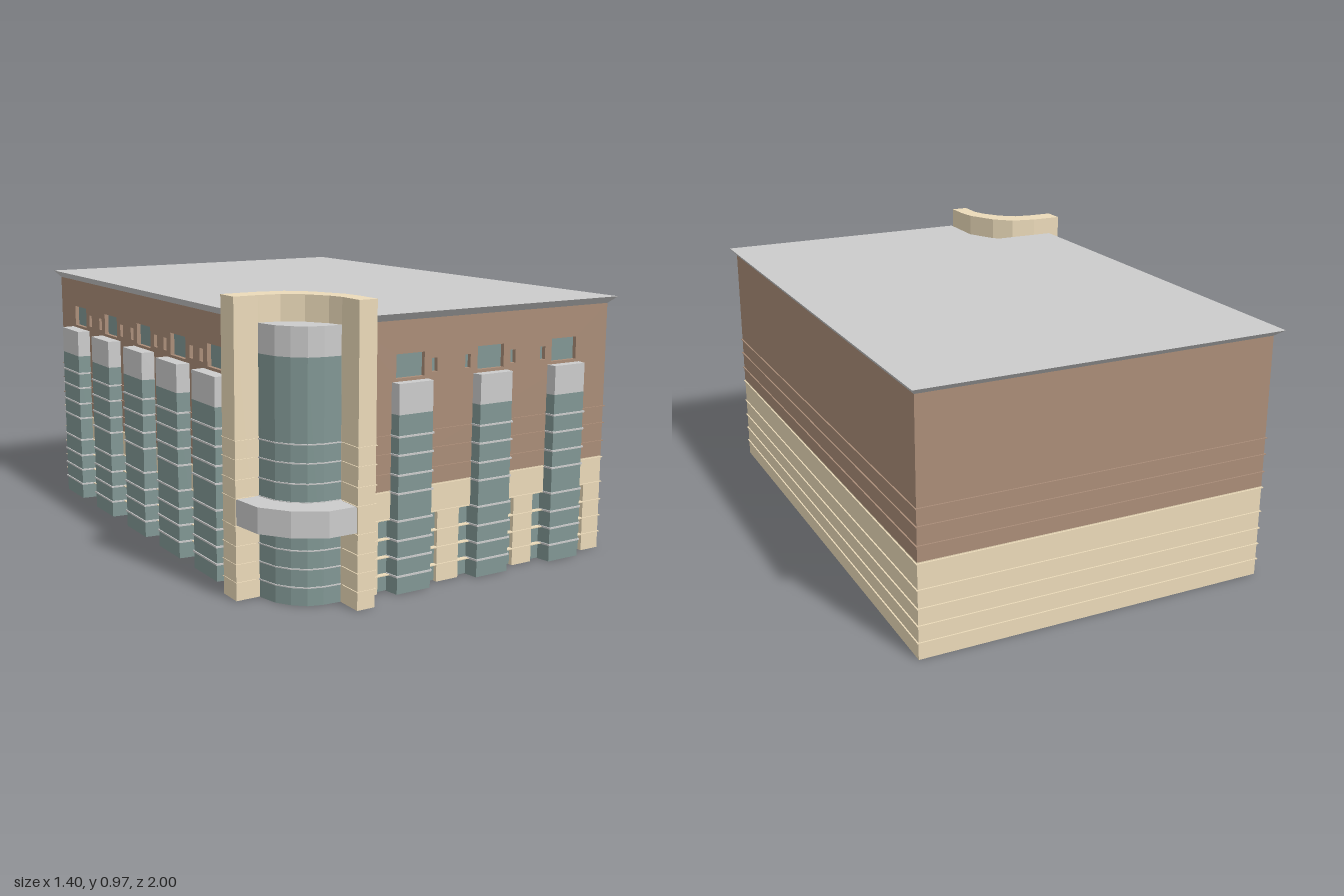
import * as THREE from 'three';

const mat = (color) => new THREE.MeshStandardMaterial({ color, flatShading: true });
const GREY = mat(0xcccccc), BEIGE = mat(0xebdab9), BROWN = mat(0xaa8d78), GLASS = mat(0x819794);
const RIB_HEIGHTS = [0.06, 0.12, 0.18, 0.245, 0.335, 0.395, 0.46, 0.52];
const BAND = 0.34, TOP = 0.885, RECESS = 0.02;

function add(parent, name, geometry, material) {
  const mesh = new THREE.Mesh(geometry, material);
  mesh.name = name;
  parent.add(mesh);
  return mesh;
}

// Vertical prism from a floor plan given as [x, z] corners
function plan(points, y0, y1) {
  const shape = new THREE.Shape(points.map(([x, z]) => new THREE.Vector2(x, -z)));
  const g = new THREE.ExtrudeGeometry(shape, { depth: y1 - y0, bevelEnabled: false });
  return g.rotateX(-Math.PI / 2).translate(0, y0, 0);
}

function box(x0, x1, y0, y1, z0, z1) {
  return new THREE.BoxGeometry(x1 - x0, y1 - y0, z1 - z0)
    .translate((x0 + x1) / 2, (y0 + y1) / 2, (z0 + z1) / 2);
}

// Facade in local space: u runs along x, outside is +z, outer face at z = 0
function facade({ name, u0, u1, bays, half, flank, depth, bigHalf, smallOffset, smallHalf, extra = [] }) {
  const group = new THREE.Group();
  group.name = name;
  const extrude = { depth: RECESS, bevelEnabled: false };

  // Lower wall with tall openings that reach the ground
  const openings = [...extra, ...bays.map((c) => [c - flank, c + flank])].sort((a, b) => a[0] - b[0]);
  const lower = new THREE.Shape();
  lower.moveTo(u0, 0);
  for (const [a, b] of openings) {
    lower.lineTo(a, 0);
    lower.lineTo(a, 0.238);
    lower.lineTo(a + 0.007, 0.245);
    lower.lineTo(b - 0.007, 0.245);
    lower.lineTo(b, 0.238);
    lower.lineTo(b, 0);
  }
  lower.lineTo(u1, 0);
  lower.lineTo(u1, BAND);
  lower.lineTo(u0, BAND);
  add(group, 'lowerWall', new THREE.ExtrudeGeometry(lower, extrude).translate(0, 0, -RECESS), BEIGE);

  // Upper wall with a wide window over each bay and narrow ones between bays
  const upper = new THREE.Shape();
  upper.moveTo(u0, BAND);
  upper.lineTo(u1, BAND);
  upper.lineTo(u1, TOP);
  upper.lineTo(u0, TOP);
  const hole = (c, h, y0, y1) => upper.holes.push(new THREE.Path([
    new THREE.Vector2(c - h, y0), new THREE.Vector2(c - h, y1),
    new THREE.Vector2(c + h, y1), new THREE.Vector2(c + h, y0)]));
  bays.forEach((c, i) => {
    hole(c, bigHalf, 0.7, 0.778);
    if (i > 0) hole(c - smallOffset, smallHalf, 0.71, 0.755);
    if (i < bays.length - 1) hole(c + smallOffset, smallHalf, 0.71, 0.755);
  });
  add(group, 'upperWall', new THREE.ExtrudeGeometry(upper, extrude).translate(0, 0, -RECESS), BROWN);

  // Glass behind the openings
  add(group, 'windowGlass', box(u0 + 0.01, u1 - 0.01, 0.002, 0.8, -RECESS - 0.005, -RECESS + 0.005), GLASS);

  // Projecting glazed bays with grey caps and floor ribs
  for (const c of bays) {
    const bay = new THREE.Group();
    bay.name = 'bay';
    const outline = (e) => [[c - half - 0.008 - e, -0.018], [c - half - e, depth + e],
      [c + half + e, depth + e], [c + half + 0.008 + e, -0.018]];
    add(bay, 'bayGlass', plan(outline(0), 0, 0.59), GLASS);
    add(bay, 'bayCap', plan(outline(0), 0.59, 0.69), GREY);
    for (const y of RIB_HEIGHTS) add(bay, 'bayRib', plan(outline(0.004), y - 0.003, y + 0.003), GREY);
    group.add(bay);
  }
  return group;
}

function cornerTower() {
  const tower = new THREE.Group();
  tower.name = 'cornerTower';
  const back = [[-0.7, 0.64], [-0.58, 0.64], [-0.485, 0.66], [-0.42, 0.72], [-0.365, 0.83], [-0.355, 0.9], [-0.355, 0.995]];
  const inner = [[-0.42, 0.995], [-0.42, 0.9], [-0.435, 0.85], [-0.48, 0.78], [-0.54, 0.735], [-0.615, 0.725], [-0.7, 0.725]];
  add(tower, 'curvedWall', plan([...back, ...inner], 0, 0.97), BEIGE);

  // Convex glazed column standing inside the curved wall
  const column = (e) => [[-0.45, 0.7], [-0.615 - e, 0.7], [-0.615 - e, 0.735], [-0.6 - e, 0.8], [-0.57 - e, 0.845 + e],
    [-0.53, 0.88 + e], [-0.48, 0.895 + e], [-0.4, 0.9 + e], [-0.4, 0.8]];
  add(tower, 'columnGlass', plan(column(0), 0, 0.79), GLASS);
  add(tower, 'columnCap', plan(column(0), 0.79, TOP), GREY);
  for (const y of RIB_HEIGHTS) {
    add(tower, 'columnRib', plan(column(0.003), y - 0.002, y + 0.002), GREY);
    add(tower, 'wallEndRib', box(-0.424, -0.351, y - 0.0015, y + 0.0015, 0.91, 0.998), BEIGE);
    add(tower, 'wallEndRib', box(-0.702, -0.63, y - 0.0015, y + 0.0015, 0.636, 0.729), BEIGE);
  }

  // Entrance canopy
  add(tower, 'canopy', plan([[-0.5, 0.72], [-0.698, 0.722], [-0.685, 0.84], [-0.62, 0.93], [-0.52, 0.99],
    [-0.41, 0.99], [-0.41, 0.85]], 0.25, BAND - 0.005), GREY);
  return tower;
}

export function createModel() {
  const model = new THREE.Group();
  model.name = 'building';

  // Solid body, hollowed at the corner for the tower
  const corner = [[-0.39, 0.885], [-0.395, 0.83], [-0.445, 0.75], [-0.51, 0.695], [-0.6, 0.68]];
  const body = [[-0.6, -0.965], [0.675, -0.965], [0.675, 0.885], ...corner];
  add(model, 'lowerBody', plan(body, 0, BAND), BEIGE);
  add(model, 'upperBody', plan(body, BAND, TOP), BROWN);
  add(model, 'cornerRoof', plan([[-0.615, 0.6], [-0.31, 0.6], [-0.31, 0.9], [-0.38, 0.9], ...corner.slice(1, 4), [-0.615, 0.68]],
    TOP - 0.01, TOP + 0.002), GREY);

  // Thin ribs around the walls
  const ring = [[-0.625, -0.97], [0.68, -0.97], [0.68, 0.91], [-0.39, 0.91], [-0.39, 0.8], [-0.5, 0.68], [-0.625, 0.68]];
  for (const y of RIB_HEIGHTS) {
    add(model, 'wallRib', plan(ring, y - 0.0015, y + 0.0015), y < BAND ? BEIGE : BROWN);
  }

  // Roof slab, flared outwards from the wall line
  const roof = plan([[-0.64, -1], [0.695, -1], [0.695, 0.935], [-0.32, 0.935], [-0.32, 0.64], [-0.35, 0.61], [-0.64, 0.61]], TOP, 0.91);
  const p = roof.attributes.position;
  for (let i = 0; i < p.count; i++) {
    if (p.getY(i) > TOP + 0.01) continue;
    p.setX(i, THREE.MathUtils.clamp(p.getX(i), -0.62, 0.675));
    p.setZ(i, THREE.MathUtils.clamp(p.getZ(i), -0.965, 0.905));
  }
  roof.computeVertexNormals();
  add(model, 'roof', roof, GREY);

  // Front and side facades
  const front = facade({
    name: 'frontFacade', u0: -0.39, u1: 0.675, bays: [-0.165, 0.16, 0.48], half: 0.066, flank: 0.118,
    depth: 0.035, bigHalf: 0.055, smallOffset: 0.095, smallHalf: 0.011, extra: [[-0.37, -0.32]],
  });
  front.position.z = 0.905;
  const side = facade({
    name: 'sideFacade', u0: -0.965, u1: 0.68, bays: [-0.755, -0.44, -0.13, 0.16, 0.445], half: 0.084, flank: 0.118,
    depth: 0.048, bigHalf: 0.06, smallOffset: 0.105, smallHalf: 0.013,
  });
  side.rotation.y = -Math.PI / 2;
  side.position.x = -0.62;
  model.add(front, side, cornerTower());
  return model;
}
